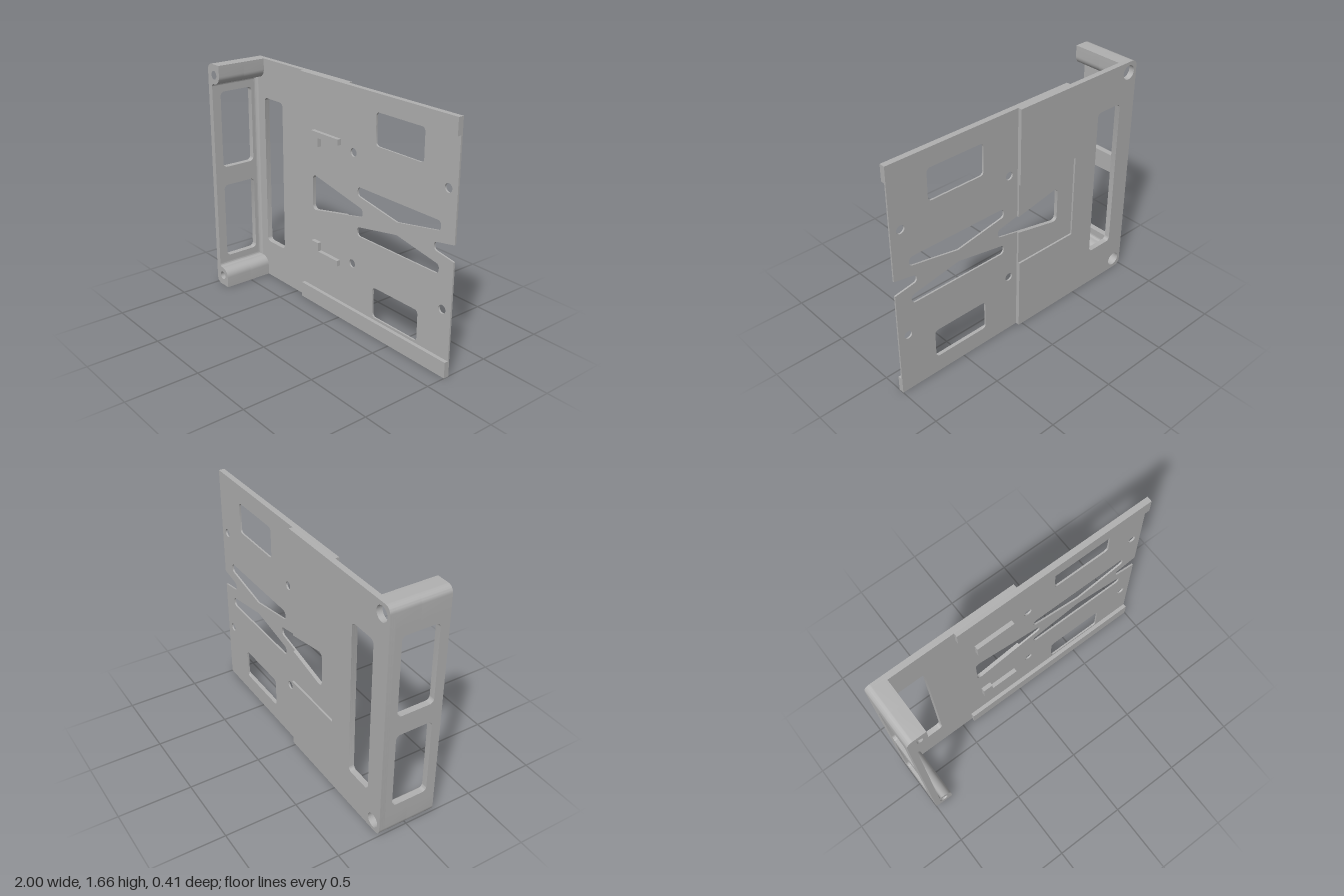
import * as THREE from 'three';
import { toCreasedNormals } from 'three/addons/utils/BufferGeometryUtils.js';

const H = 1.657;                       // overall height
const BACK = -0.205, FRONT = 0.205;    // overall depth
const FACE = -0.166;                   // front face of the plate
const STEP = 0.03;                     // x where the thick half of the plate ends
const flip = pts => pts.map(([x, y, r]) => [x, H - y, r]);

// Trace a polygon of [x, y, cornerRadius] points with rounded corners
function trace(path, pts) {
  pts.forEach(([x, y, r = 0], i) => {
    const p = new THREE.Vector2(x, y);
    const a = new THREE.Vector2(...pts[(i + pts.length - 1) % pts.length].slice(0, 2)).sub(p).normalize();
    const b = new THREE.Vector2(...pts[(i + 1) % pts.length].slice(0, 2)).sub(p).normalize();
    const angle = Math.acos(THREE.MathUtils.clamp(a.dot(b), -1, 1));
    const t = r / Math.tan(angle / 2);
    const k = t - (4 / 3) * Math.tan((Math.PI - angle) / 4) * r;
    const s = p.clone().addScaledVector(a, t), e = p.clone().addScaledVector(b, t);
    if (i === 0) path.moveTo(s.x, s.y); else path.lineTo(s.x, s.y);
    if (r > 0) {
      const c1 = p.clone().addScaledVector(a, k), c2 = p.clone().addScaledVector(b, k);
      path.bezierCurveTo(c1.x, c1.y, c2.x, c2.y, e.x, e.y);
    }
  });
  path.closePath();
  return path;
}

const rect = (x0, y0, x1, y1, r = 0) => [[x0, y0, r], [x1, y0, r], [x1, y1, r], [x0, y1, r]];
const hole = pts => trace(new THREE.Path(), pts);
const round = (x, y, r) => new THREE.Path().absarc(x, y, r, 0, Math.PI * 2, true);

// Extrude an outline with holes from z0 to z1
function slab(pts, holes, z0, z1) {
  const shape = trace(new THREE.Shape(), pts);
  shape.holes.push(...holes);
  const geo = new THREE.ExtrudeGeometry(shape, { depth: z1 - z0, bevelEnabled: false, curveSegments: 10 });
  geo.translate(0, 0, z0);
  return toCreasedNormals(geo, 0.6);
}

export function createModel() {
  const group = new THREE.Group();
  const grey = new THREE.MeshStandardMaterial({ color: 0xb0b0b0 });
  grey.name = 'grey plastic';
  const add = (name, geo) => {
    const mesh = new THREE.Mesh(geo, grey);
    mesh.name = name;
    group.add(mesh);
    return mesh;
  };

  // Openings in the plate
  const screwX = -0.928, screwY = 1.583;
  const slot = rect(-0.864, 0.278, -0.655, 1.38, 0.03);
  const wedge = [[-0.318, 0.96, 0.03], [0.195, 0.856, 0.025], [0.195, 0.801, 0.025], [-0.318, 0.697, 0.03]];
  const arrow = [[0.145, 1.0, 0.028], [0.885, 1.0, 0.028], [0.885, 0.938, 0.025], [0.516, 0.871], [0.145, 0.938, 0.025]];
  const port = rect(0.307, 1.313, 0.725, 1.53, 0.026);
  const screwHoles = r => [round(screwX, screwY, r), round(screwX, H - screwY, r)];
  const leftHoles = () => [hole(slot), ...screwHoles(0.05)];

  // Thin front layer of the plate, full width, with the notch in its right end
  const pins = [];
  for (const x of [0.1, 0.928]) for (const y of [1.218, H - 1.218]) pins.push(round(x, y, 0.029));
  add('plate', slab(
    [[-1, 0, 0.045], [1, 0], [1, 0.775], [0.837, 0.803, 0.025], [0.837, 0.854, 0.025], [1, 0.884], [1, H], [-1, H, 0.045]],
    [...leftHoles(), ...pins, hole(wedge), hole(arrow), hole(flip(arrow)), hole(port), hole(flip(port))],
    -0.178, FACE));

  // Thicker half: a middle layer, cut by the wedge at its edge
  const cutTop = 0.96 - (STEP + 0.318) * 0.2027;
  add('plateThickening', slab(
    [[-1, 0, 0.045], [STEP, 0], [STEP, H - cutTop], [-0.318, 0.697, 0.03], [-0.318, 0.96, 0.03],
      [STEP, cutTop], [STEP, H], [-1, H, 0.045]],
    leftHoles(), -0.192, -0.178));

  // Back layer with the shallow rectangular recess
  add('recessedBack', slab(
    [[-1, 0, 0.045], [STEP, 0], [STEP, 0.527], [-0.46, 0.527], [-0.46, 1.13], [STEP, 1.13], [STEP, H], [-1, H, 0.045]],
    leftHoles(), BACK, -0.192));

  // Corner posts with a screw hole, wider at the back
  const post = [[-1, H, 0.045], [-0.866, H], [-0.866, 1.519, 0.062], [-0.958, 1.519, 0.02], [-0.958, 1.495], [-1, 1.495]];
  for (const [side, pts, y] of [['upper', post, screwY], ['lower', flip(post), H - screwY]]) {
    add(side + 'PostBack', slab(pts, [round(screwX, y, 0.05)], FACE, 0));
    add(side + 'PostFront', slab(pts, [round(screwX, y, 0.03)], 0, FRONT));
  }

  // Side wall with two windows, drawn in (-z, y) and turned to face sideways
  const wallGeo = slab(rect(-FRONT, H - 1.495, -FACE, 1.495),
    [hole(rect(-0.14, 0.208, 0.118, 0.76, 0.03)), hole(rect(-0.14, 0.897, 0.118, 1.449, 0.03))], 0, 0.042);
  wallGeo.rotateY(Math.PI / 2).translate(-1, 0, 0);
  add('sideWall', wallGeo);

  // Fillet where the wall meets the plate, drawn in (x, -z) and stood upright
  const r = 0.025, x0 = -0.958, y0 = -FACE;
  const cove = new THREE.Shape();
  cove.moveTo(x0, y0);
  cove.lineTo(x0 + r, y0);
  cove.absarc(x0 + r, y0 - r, r, Math.PI / 2, Math.PI, false);
  cove.closePath();
  const coveGeo = new THREE.ExtrudeGeometry(cove, { depth: 1.52 - 0.137, bevelEnabled: false, curveSegments: 8 });
  coveGeo.rotateX(-Math.PI / 2).translate(0, 0.137, 0);
  add('wallFillet', toCreasedNormals(coveGeo, 0.6));

  // Edge rails and L-shaped clips on the front, mirrored top to bottom
  const rail = rect(-0.417, 1.547, 1, H);
  const clip = [[-0.302, 1.278], [-0.024, 1.278], [-0.024, 1.238], [-0.23, 1.238], [-0.23, 1.176], [-0.302, 1.176]];
  for (const [side, m] of [['upper', p => p], ['lower', flip]]) {
    add(side + 'Rail', slab(m(rail), [], FACE, -0.139));
    add(side + 'Clip', slab(m(clip), [], FACE, -0.137));
  }
  return group;
}
